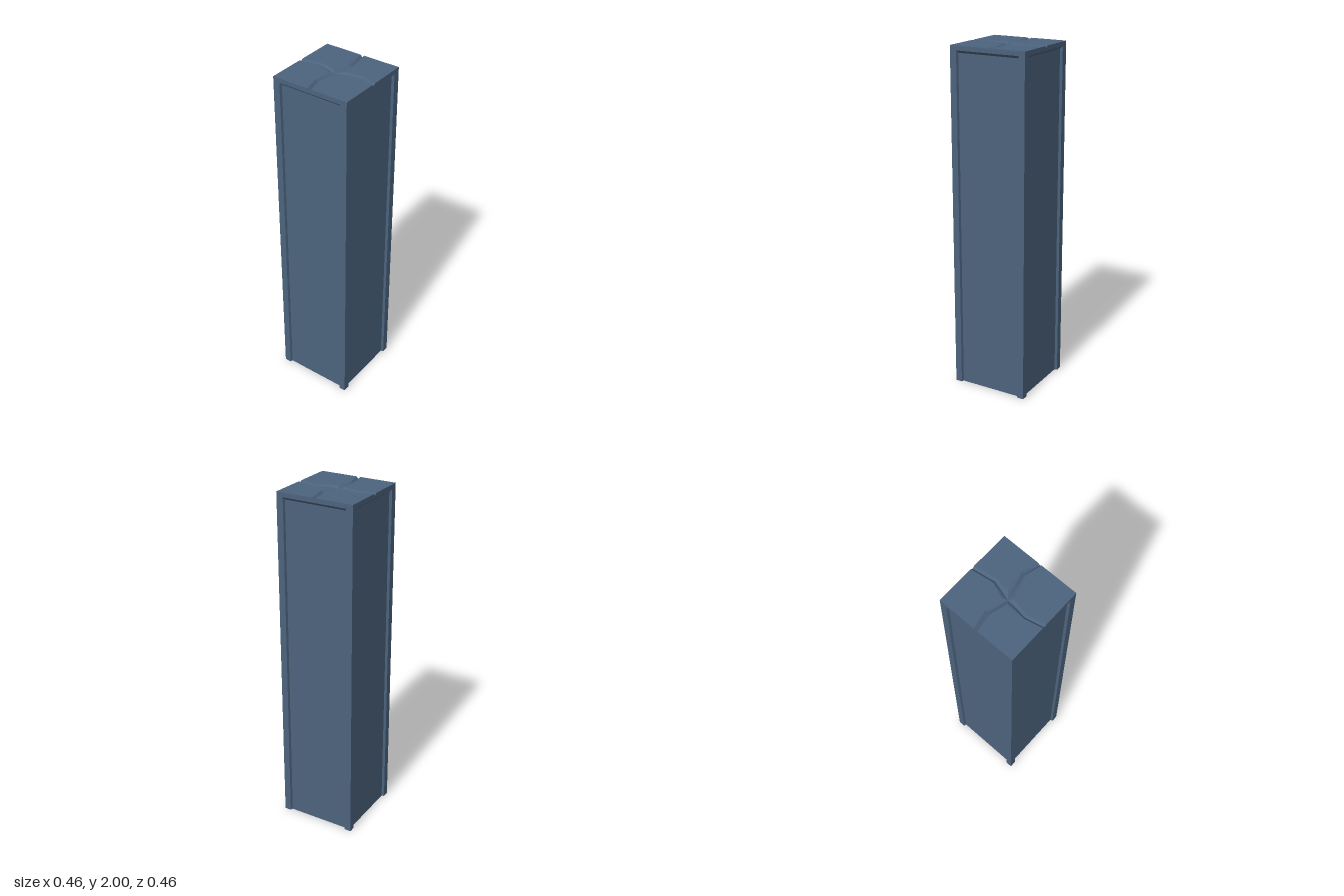
import * as THREE from 'three';

const H = 2, W = 0.23;          // pillar height and half width
const DEPTH = 0.012;            // groove depth, also its half width
const RECESS = 0.015;           // how far the side panels sit back

// Flat-shaded quads; each one is turned to face the given direction
function quads(list, facing) {
  const pos = [];
  for (const q of list) {
    const [a, b, c, d] = q.map((p) => new THREE.Vector3(...p));
    const n = c.clone().sub(a).cross(d.clone().sub(b));
    const dir = facing ? new THREE.Vector3(...facing) : n;
    const order = n.dot(dir) < 0 ? [a, c, b, a, d, c] : [a, b, c, a, c, d];
    order.forEach((v) => pos.push(v.x, v.y, v.z));
  }
  const g = new THREE.BufferGeometry();
  g.setAttribute('position', new THREE.Float32BufferAttribute(pos, 3));
  g.computeVertexNormals();
  return g;
}

const polygon = (pts) => new THREE.ShapeGeometry(new THREE.Shape(pts.map(([x, y]) => new THREE.Vector2(x, y))));

export function createModel() {
  const group = new THREE.Group();
  const stone = new THREE.MeshStandardMaterial({ color: 0x4c637d });
  stone.name = 'slate blue stone';
  const add = (parent, name, geometry) => {
    const mesh = new THREE.Mesh(geometry, stone);
    mesh.name = name;
    parent.add(mesh);
    return mesh;
  };

  // Four sides: a notched frame around a recessed panel that runs to the floor
  const ox = 0.191, ix = 0.187, oy = 1.974, iy = 1.96, zi = W - RECESS;
  for (let i = 0; i < 4; i++) {
    const side = new THREE.Group();
    side.name = 'side' + (i + 1);
    side.rotation.y = i * Math.PI / 2;
    group.add(side);
    add(side, 'frame', polygon([
      [-W, 0], [-ox, 0], [-ox, oy], [ox, oy], [ox, 0], [W, 0],
      [W, H], [DEPTH, H], [0, H - DEPTH], [-DEPTH, H], [-W, H],
    ])).position.z = W;
    add(side, 'panel', polygon([[-ix, 0], [ix, 0], [ix, iy], [-ix, iy]])).position.z = zi;
    add(side, 'panelEdges', quads([
      [[-ox, 0, W], [-ix, 0, zi], [-ix, iy, zi], [-ox, oy, W]],
      [[ox, 0, W], [ox, oy, W], [ix, iy, zi], [ix, 0, zi]],
      [[-ox, oy, W], [-ix, iy, zi], [ix, iy, zi], [ox, oy, W]],
    ], [0, 0, 1]));
  }

  // Underside, following the recessed outline
  const outline = [];
  for (let i = 0; i < 4; i++) {
    const c = [1, 0, -1, 0][i], s = [0, 1, 0, -1][i];
    for (const [x, y] of [[W, -W], [W, -ox], [zi, -ix], [zi, ix], [W, ox]]) {
      outline.push([x * c - y * s, x * s + y * c]);
    }
  }
  add(group, 'underside', polygon(outline).rotateX(Math.PI / 2));

  // Grooves on top: back, right, front, left; [x, z] of left rim, bed, right rim
  const D = DEPTH;
  const arms = [
    { end: [[-D, -W], [0, -W], [D, -W]], bend: [[0.007, -0.103], [0.022, -0.102], [0.035, -0.1]] },
    { end: [[W, -D], [W, 0], [W, D]], bend: [[0.145, -0.037], [0.145, -0.026], [0.145, -0.012]] },
    { end: [[D, W], [0, W], [-D, W]], bend: [[-0.012, 0.13], [-0.024, 0.13], [-0.035, 0.132]] },
    { end: [[-W, D], [-W, 0], [-W, -D]], bend: [[-0.123, -0.003], [-0.123, -0.021], [-0.123, -0.034]] },
  ];
  // Inner corners of the four top slabs, clockwise from back right
  const inner = [[0.024, -0.021], [0.008, 0.029], [-0.031, 0.023], [-0.024, -0.013]];
  const outer = [[W, -W], [W, W], [-W, W], [-W, -W]];
  const rim = ([x, z]) => [x, H, z];
  const bed = ([x, z]) => [x, H - DEPTH, z];
  const centre = [-0.01, 0.008];

  arms.forEach((arm, i) => {
    const next = arms[(i + 1) % 4];
    const slab = [arm.end[2], outer[i], next.end[0], next.bend[0], inner[i], arm.bend[2]];
    const top = polygon(slab.map(([x, z]) => [x, -z])).rotateX(-Math.PI / 2);
    add(group, 'topSlab' + (i + 1), top).position.y = H;

    const walls = [];
    for (const [k, corner] of [[0, inner[(i + 3) % 4]], [2, inner[i]]]) {
      walls.push([rim(arm.end[k]), bed(arm.end[1]), bed(arm.bend[1]), rim(arm.bend[k])]);
      walls.push([rim(arm.bend[k]), bed(arm.bend[1]), bed(centre), rim(corner)]);
    }
    add(group, 'groove' + (i + 1), quads(walls, [0, 1, 0]));
  });

  return group;
}
